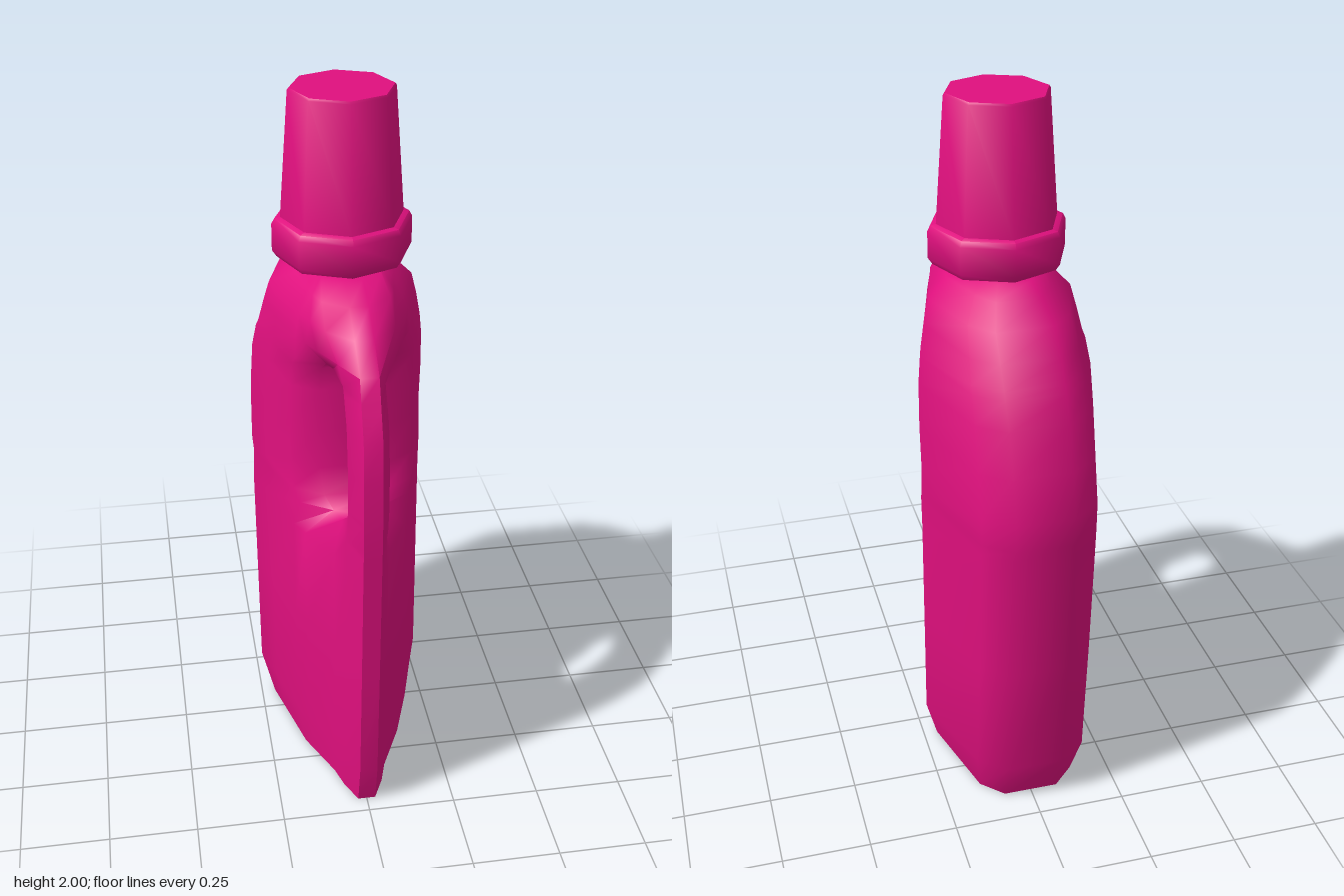
import * as THREE from 'three';
import { toCreasedNormals } from 'three/addons/utils/BufferGeometryUtils.js';

const plastic = new THREE.MeshStandardMaterial({ color: 0xe0107e });
const lerp = THREE.MathUtils.lerp;

// Plan of the bottle: half-width for each depth z, front to back
const PLAN = [[0.51, 0.025], [0.43, 0.055], [0.35, 0.07], [0.17, 0.165], [-0.02, 0.22], [-0.1, 0.245], [-0.14, 0.25], [-0.45, 0.158]];
function planWidth(z) {
  for (let i = 1; i < PLAN.length; i++) {
    const [z0, w0] = PLAN[i - 1], [z1, w1] = PLAN[i];
    if (z >= z1) return lerp(w0, w1, Math.max(0, (z - z0) / (z1 - z0)));
  }
  return 0.158;
}

// Levels: y, front z, back z, grip front z, grip back z, width scale,
// then half-widths of the grip edges where the grip is open
const LEVELS = [
  [0.005, 0.45, -0.40, 0.32, 0.22, 0.88],
  [0.14, 0.48, -0.45, 0.33, 0.22, 1],
  [0.5, 0.495, -0.48, 0.34, 0.22, 1],
  [0.8, 0.505, -0.50, 0.335, 0.215, 1],
  [0.89, 0.508, -0.505, 0.30, 0.25, 1, 0.05, 0.065],
  [0.92, 0.509, -0.507, 0.335, 0.215, 1, 0.04, 0.085],
  [1.0, 0.51, -0.508, 0.36, 0.2, 1, 0.032, 0.095],
  [1.12, 0.505, -0.475, 0.358, 0.2, 1, 0.032, 0.095],
  [1.24, 0.493, -0.435, 0.327, 0.2, 0.99, 0.035, 0.095],
  [1.31, 0.463, -0.40, 0.27, 0.205, 0.97, 0.045, 0.09],
  [1.33, 0.455, -0.387, 0.25, 0.22, 0.965, 0.065, 0.08],
  [1.39, 0.43, -0.35, 0.26, 0.21, 0.93],
  [1.455, 0.35, -0.295, 0.22, 0.17, 0.87],
  [1.51, 0.27, -0.232, 0.17, 0.13, 0.65],
  [1.542, 0.17, -0.19, 0.10, 0.07, 0.45],
];
const HOLE_START = 4, HOLE_END = 10;
const N = 18;

// One closed cross-section: nine points down the left side, mirrored back up the right
function crossSection([y, zf, zb, hf, hb, s, wf, wb]) {
  const zc = zb + 0.06;
  const side = [[0.025, zf]];
  const zm = lerp(zf, hf, 0.5);
  side.push([wf ? 0.055 : planWidth(zm) * s, zm]);
  side.push([wf ?? planWidth(hf) * s, hf], [wb ?? planWidth(hb) * s, hb]);
  for (const t of [0.08, 0.34, 0.53]) {
    const z = lerp(hb, zc, t);
    side.push([planWidth(z) * s, z]);
  }
  side.push([0.158 * s, zc], [0.08 * Math.min(1, s + 0.1), zb]);
  const mirrored = side.map(([x, z]) => [-x, z]).reverse();
  return [...side, ...mirrored].map(([x, z]) => [x, y, z]);
}

function bodyGeometry() {
  const positions = LEVELS.flatMap(crossSection).flat();
  const index = [];
  const quad = (a, b, c, d) => index.push(a, b, c, a, c, d);
  const last = LEVELS.length - 1;
  for (let r = 0; r < last; r++) {
    const wall = (i, j) => quad(r * N + i, r * N + j, (r + 1) * N + j, (r + 1) * N + i);
    const open = r >= HOLE_START && r < HOLE_END;
    for (let i = 0; i < N; i++) {
      if (!(open && (i === 2 || i === 14))) wall(i, (i + 1) % N);
    }
    // inner faces of the handle opening
    if (open) { wall(2, 15); wall(14, 3); }
  }
  const floor = (r, i) => quad(r * N + i, r * N + i + 1, r * N + 16 - i, r * N + 17 - i);
  const ceiling = (r, i) => quad(r * N + 17 - i, r * N + 16 - i, r * N + i + 1, r * N + i);
  // floor and roof of the opening, then base and shoulder top
  floor(HOLE_START, 2);
  ceiling(HOLE_END, 2);
  for (let i = 0; i < 8; i++) { ceiling(0, i); floor(last, i); }
  const g = new THREE.BufferGeometry();
  g.setAttribute('position', new THREE.Float32BufferAttribute(positions, 3));
  g.setIndex(index);
  return toCreasedNormals(g, 1.05);
}

// Eight-sided turned part
function turned(name, profile) {
  const g = new THREE.LatheGeometry(profile.map(([r, y]) => new THREE.Vector2(r, y)), 8);
  const mesh = new THREE.Mesh(toCreasedNormals(g, 0.95), plastic);
  mesh.name = name;
  mesh.position.z = -0.015;
  return mesh;
}

export function createModel() {
  const group = new THREE.Group();
  group.name = 'detergentBottle';

  const body = new THREE.Mesh(bodyGeometry(), plastic);
  body.name = 'bodyWithHandle';
  group.add(body);

  group.add(turned('neck', [[0.13, 1.5], [0.13, 1.56]]));
  group.add(turned('capCollar', [[0, 1.542], [0.178, 1.542], [0.19, 1.56], [0.19, 1.635], [0.182, 1.65], [0.16, 1.655]]));
  group.add(turned('measuringCap', [[0.167, 1.645], [0.142, 1.994], [0.138, 2], [0, 2]]));
  return group;
}
